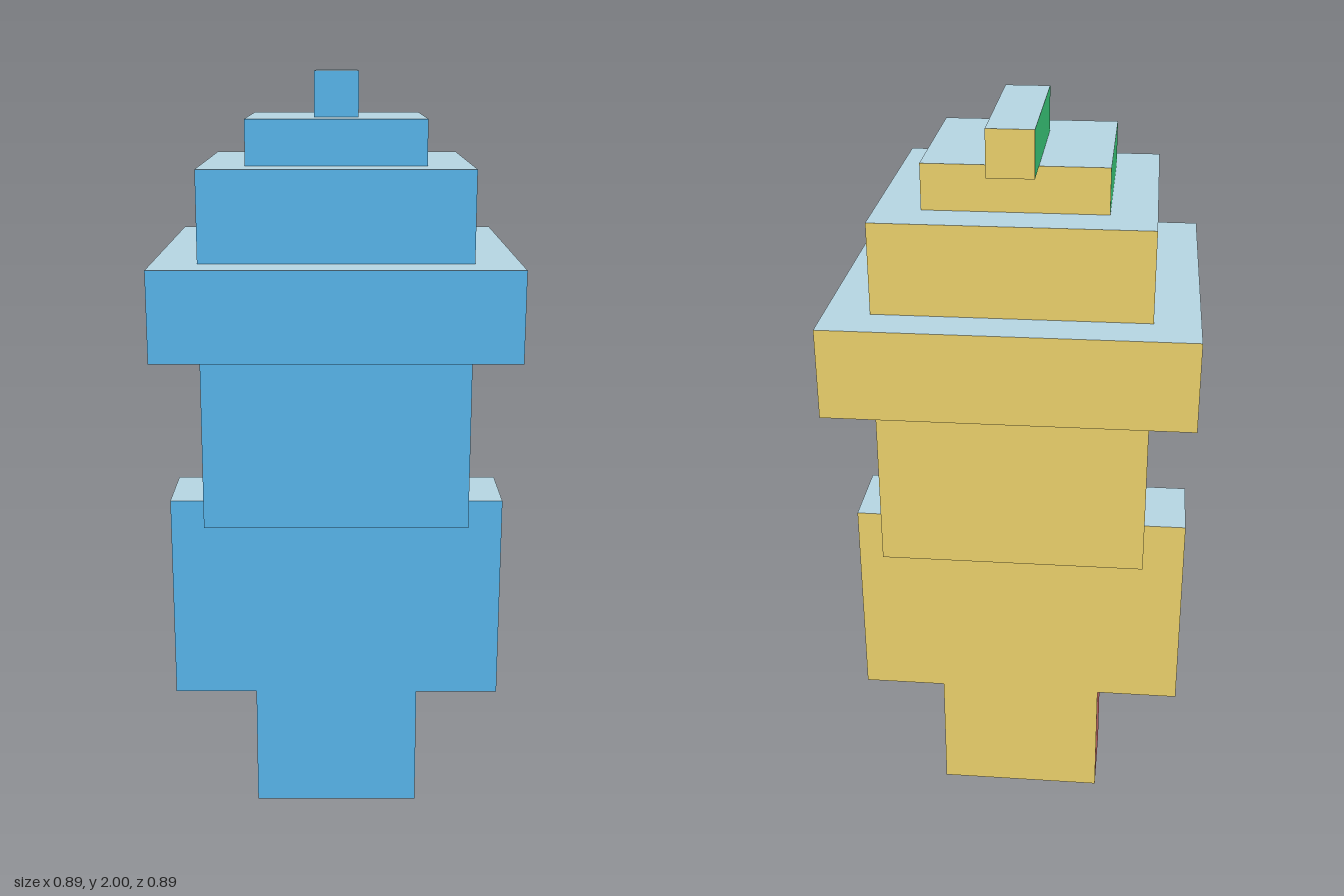
import * as THREE from 'three';

export function createModel() {
  const model = new THREE.Group();
  const U = 1 / 9; // one block unit

  const paint = (name, color) => {
    const m = new THREE.MeshStandardMaterial({ color });
    m.name = name;
    return m;
  };
  const red = paint('coralRed', 0xf48686);
  const green = paint('mintGreen', 0x43e88d);
  const pale = paint('paleBlue', 0xb4d4e1);
  const slate = paint('slate', 0x536174);
  const blue = paint('skyBlue', 0x5bbcf4);
  const yellow = paint('yellow', 0xf8dd72);

  // face order: left, right, top, bottom, front, back
  const headFaces = [red, green, pale, slate, blue, yellow];
  const bodyFaces = [red, red, pale, slate, blue, yellow];

  // block given by size, base height and centre, all in block units
  const block = (name, [w, h, d], faces, y, x = 0, z = 0) => {
    const mesh = new THREE.Mesh(new THREE.BoxGeometry(w * U, h * U, d * U), faces);
    mesh.name = name;
    mesh.position.set(x * U, (y + h / 2) * U, z * U);
    model.add(mesh);
  };

  // flat body with paired limbs
  block('torso', [4, 5, 2], bodyFaces, 3);
  for (const [side, s] of [['left', 1], ['right', -1]]) {
    block(side + 'Leg', [2, 3, 2], bodyFaces, 0, s);
    block(side + 'Arm', [2, 5, 2], bodyFaces, 3, 3 * s);
  }

  // head and stepped hat with a tip hanging over the back
  block('head', [6, 4, 6], headFaces, 8);
  block('hatBrim', [8, 2, 8], headFaces, 12);
  block('hatCrown', [6, 2, 6], headFaces, 14);
  block('hatUpperCrown', [4, 1, 4], headFaces, 16);
  block('hatTip', [1, 1, 4], headFaces, 17, 0, -1);

  return model;
}
